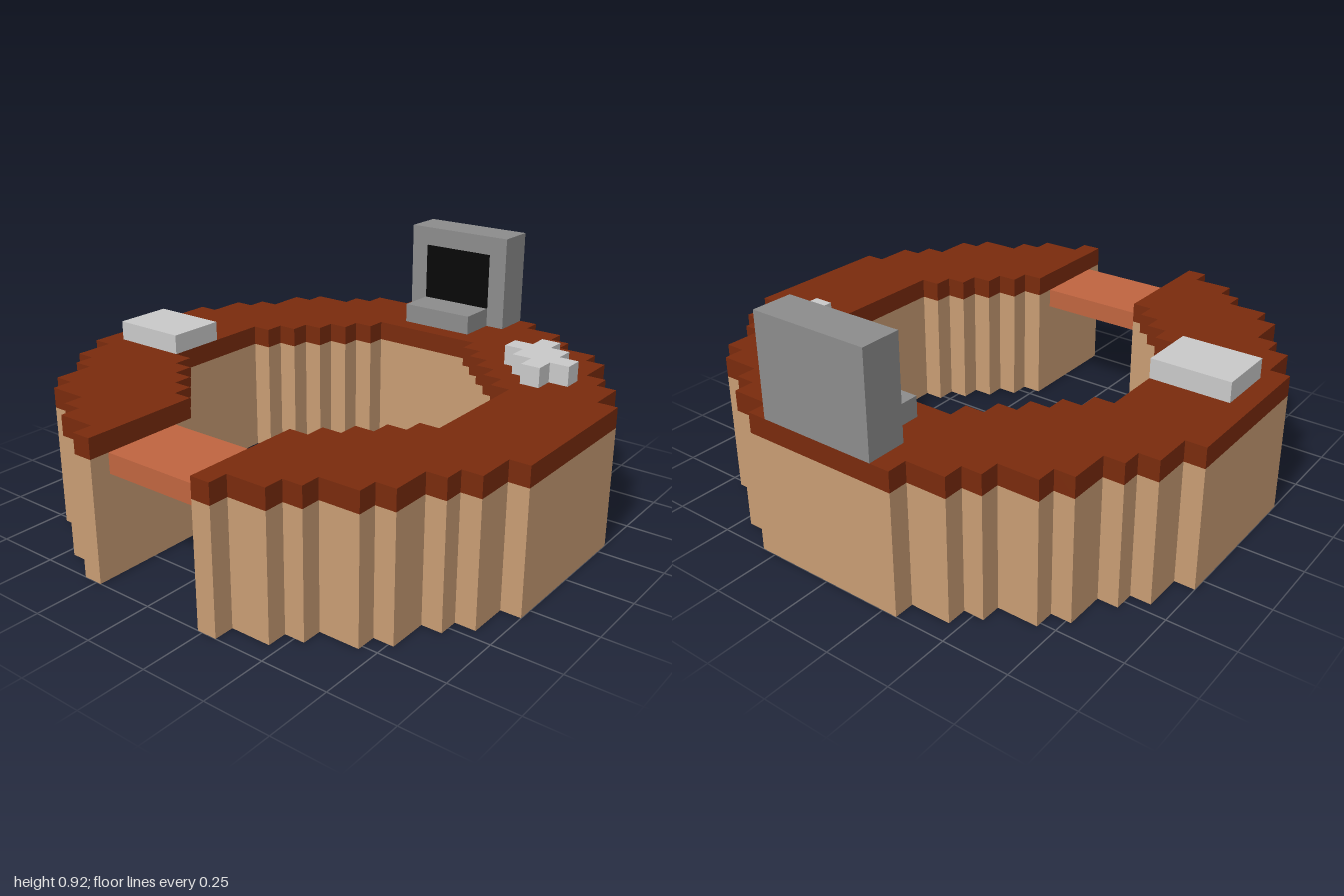
import * as THREE from 'three';

const U = 1 / 13; // one grid cell

function material(name, color) {
  const m = new THREE.MeshStandardMaterial({ color });
  m.name = name;
  return m;
}

// Staircase through the given corners of one quadrant, mirrored into a full loop from the -x side
function steppedLoop(corners) {
  const quarter = [];
  corners.forEach(([x, y], i) => {
    quarter.push([x, y]);
    if (i < corners.length - 1) quarter.push([x, corners[i + 1][1]]);
  });
  const half = [...quarter.map(([x, y]) => [-x, y]).reverse(), ...quarter];
  return [...half, ...half.map(([x, y]) => [x, -y]).reverse()];
}

// Extrudes a ground plan (x, -z) upward from y0 to y1, all in cells
function slab(name, points, y0, y1, mat) {
  const shape = new THREE.Shape(points.map(([x, y]) => new THREE.Vector2(x * U, y * U)));
  const geo = new THREE.ExtrudeGeometry(shape, { depth: (y1 - y0) * U, bevelEnabled: false });
  geo.rotateX(-Math.PI / 2).translate(0, y0 * U, 0);
  const mesh = new THREE.Mesh(geo, mat);
  mesh.name = name;
  return mesh;
}

// Box between two corners given in cells
function block(name, [x0, y0, z0], [x1, y1, z1], mat) {
  const geo = new THREE.BoxGeometry((x1 - x0) * U, (y1 - y0) * U, (z1 - z0) * U);
  geo.translate((x0 + x1) / 2 * U, (y0 + y1) / 2 * U, (z0 + z1) / 2 * U);
  const mesh = new THREE.Mesh(geo, mat);
  mesh.name = name;
  return mesh;
}

export function createModel() {
  const tan = material('tan wall', 0xc99d74);
  const brown = material('brown deck', 0x7a2b0d);
  const terracotta = material('terracotta bridge', 0xc06540);
  const lightGrey = material('light grey', 0xcacaca);
  const grey = material('stone grey', 0x8c8c8c);
  const black = material('black opening', 0x050505);

  const model = new THREE.Group();
  model.name = 'steppedRing';

  // Ring plan with a gap on the -x side
  const outer = steppedLoop([[4, 13], [6, 12], [7, 11], [9, 10], [10, 9], [11, 7], [12, 6], [13, 4]]);
  const inner = steppedLoop([[3, 8], [4, 7], [5, 6], [6, 5], [7, 4], [8, 3]]);
  const plan = [[-13, 3], ...outer, [-13, -3], ...inner.reverse()];
  model.add(slab('wall', plan, 0, 6, tan));
  model.add(slab('deck', plan, 6, 7, brown));

  // Bridge across the gap, just below the deck
  model.add(block('bridge', [-12, 5, -3], [-8, 6, 3], terracotta));

  // Pale platform at the back
  model.add(block('platform', [-3, 7, -12], [0, 8, -8], lightGrey));

  // Stepped cross-shaped marker
  const cross = [[6, -6], [7, -6], [7, -7], [8, -7], [8, -8], [7, -8], [7, -9], [6, -9],
    [6, -10], [5, -10], [5, -9], [4, -9], [4, -8], [5, -8], [5, -7], [6, -7]];
  model.add(slab('crossMarker', cross, 7, 8, lightGrey));

  // Gateway with dark opening and a doorstep, facing the centre
  const gateway = new THREE.Group();
  gateway.name = 'gateway';
  gateway.add(block('gatewayFrame', [11, 7, -3], [13, 12, 3], grey));
  gateway.add(block('gatewayOpening', [10.95, 8, -2], [11, 11, 2], black));
  gateway.add(block('doorstep', [9, 7, -2], [11, 8, 2], grey));
  model.add(gateway);

  return model;
}
